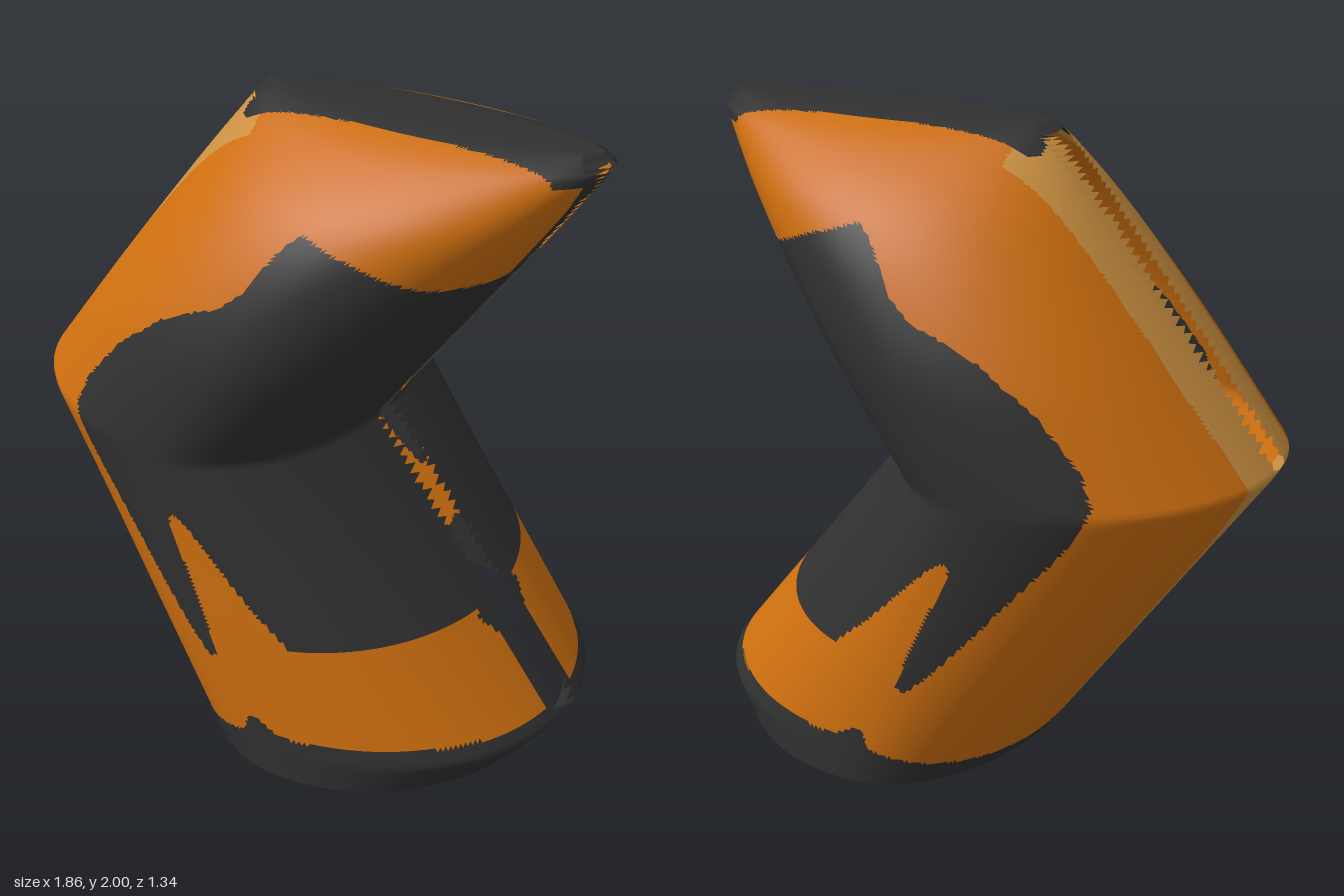
import * as THREE from 'three';

const ROWS = 180, COLS = 124;

// Piecewise-linear lookup in a list of [position, value] pairs
function lerpTable(table, p) {
  if (p <= table[0][0]) return table[0][1];
  for (let i = 1; i < table.length; i++) {
    const [p0, v0] = table[i - 1], [p1, v1] = table[i];
    if (p <= p1) return v0 + (v1 - v0) * (p - p0) / (p1 - p0);
  }
  return table[table.length - 1][1];
}

// Sleeve outline: back edge, front edge and widest line, as x by height
const BACK = [[0, -0.25], [1.02, -0.94], [1.98, -0.21], [2, -0.18]];
const FRONT = [[0, 0.85], [0.1, 0.93], [1, 0.23], [1.95, 0.93], [2, 0.89]];
const WIDEST = [[0, 0.22], [1, -0.2], [2, 0.36]];

// Half width by height, closing over the top
const WIDTH = new THREE.SplineCurve([
  [0, 0.67], [0.4, 0.66], [0.8, 0.642], [1.2, 0.63], [1.4, 0.605], [1.6, 0.54], [1.75, 0.46],
  [1.85, 0.37], [1.94, 0.25], [1.985, 0.15], [2, 0.07], [2, 0],
].map(([y, w]) => new THREE.Vector2(y, w)));

// Dark elbow patch on each side, in x and y
const PATCH = [
  [-0.55, 1.04], [-0.51, 1.14], [-0.37, 1.3], [-0.2, 1.43], [-0.1, 1.48], [0, 1.52], [0.08, 1.58],
  [0.13, 1.66], [0.18, 1.73], [0.22, 1.76], [0.38, 1.71], [0.56, 1.635], [0.65, 1.62], [1.1, 1.62],
  [1.1, 0.44], [0.6, 0.455], [0.27, 0.45], [0.15, 0.56], [-0.05, 0.77], [-0.11, 0.82], [-0.14, 0.82],
  [-0.14, 0.77], [-0.08, 0.66], [0, 0.47], [0.035, 0.38], [0.01, 0.36], [-0.07, 0.43], [-0.2, 0.58],
  [-0.35, 0.76], [-0.47, 0.9], [-0.53, 1],
];

// Upper edge of the dark cuff, y by x
const CUFF = [[-0.25, 0.04], [0, 0.09], [0.13, 0.13], [0.15, 0.19], [0.18, 0.2], [0.22, 0.165],
  [0.3, 0.15], [0.6, 0.155], [0.95, 0.14]];

// Half width of the tan stripe along the back, by height
const STRIPE = [[0, 0.12], [0.75, 0.13], [1, 0.2], [1.3, 0.21], [2, 0.21]];

function insidePatch(x, y) {
  let inside = false;
  PATCH.forEach(([x1, y1], i) => {
    const [x0, y0] = PATCH[(i + PATCH.length - 1) % PATCH.length];
    if ((y1 > y) !== (y0 > y) && x < (x0 - x1) * (y - y1) / (y0 - y1) + x1) inside = !inside;
  });
  return inside;
}

// 0 = orange, 1 = dark, 2 = tan
function colourAt(x, y, z) {
  z = Math.abs(z);
  if (y < lerpTable(CUFF, x)) return 1;
  if (y > 1.92 && z < 0.15 && x > -0.2) return 1;
  const atFront = x > lerpTable(WIDEST, y);
  if (!atFront && x < -0.12 && z < lerpTable(STRIPE, y)) return 2;
  if (y < 1 && !atFront && z < lerpTable(STRIPE, y)) return 2;
  if (atFront && z < 0.09 + 0.04 * Math.max(0, 1 - Math.abs(y - 0.43) / 0.06)) return 1;
  return insidePatch(x, y) ? 1 : 0;
}

function seeded(seed) {
  return () => (seed = (seed * 16807) % 2147483647) / 2147483647;
}

// One side of the sleeve, with ragged edges along the front and back seams
function sleeveHalf(side) {
  const random = seeded(77);
  const positions = [], faces = [[], [], []];
  WIDTH.getSpacedPoints(ROWS).forEach((p, i) => {
    const y = THREE.MathUtils.clamp(p.x, 0, 2), w = Math.max(p.y, 0);
    const back = lerpTable(BACK, y), front = lerpTable(FRONT, y), mid = lerpTable(WIDEST, y);
    const start = Math.asin(Math.min(0.085 / Math.max(w, 0.001), 0.4));
    const tooth = () => {
      const gap = (i % 2 ? 0.008 : 0.05) + 0.025 * random();
      return y > 1.975 ? 0 : Math.min(Math.asin(Math.min(gap / w, 1)), start);
    };
    for (let j = 0; j <= COLS; j++) {
      let t = start + (Math.PI - 2 * start) * (j - 1) / (COLS - 2);
      if (j === 0) t = tooth();
      if (j === COLS) t = Math.PI - tooth();
      const c = Math.cos(t);
      const x = mid - c * (c > 0 ? mid - back : front - mid);
      positions.push(x, y, side * w * Math.sin(t));
    }
  });

  const addFace = (a, b, c) => {
    const mean = k => (positions[a * 3 + k] + positions[b * 3 + k] + positions[c * 3 + k]) / 3;
    faces[colourAt(mean(0), mean(1), mean(2))].push(...(side > 0 ? [a, b, c] : [a, c, b]));
  };
  for (let i = 0; i < ROWS; i++) {
    for (let j = 0; j < COLS; j++) {
      const a = i * (COLS + 1) + j, d = a + COLS + 1;
      addFace(a, a + 1, d + 1);
      addFace(a, d + 1, d);
    }
  }

  const geometry = new THREE.BufferGeometry();
  geometry.setAttribute('position', new THREE.Float32BufferAttribute(positions, 3));
  geometry.setIndex(faces.flat());
  let offset = 0;
  faces.forEach((list, m) => {
    geometry.addGroup(offset, list.length, m);
    offset += list.length;
  });
  geometry.computeVertexNormals();
  return geometry;
}

export function createModel() {
  const material = (name, color) => {
    const m = new THREE.MeshStandardMaterial({ color, side: THREE.DoubleSide });
    m.name = name;
    return m;
  };
  const materials = [material('orange', 0xcc6e0f), material('charcoal', 0x303030), material('tan', 0xc98f40)];

  const group = new THREE.Group();
  group.name = 'bentSleeve';
  for (const [name, side] of [['frontHalf', 1], ['rearHalf', -1]]) {
    const mesh = new THREE.Mesh(sleeveHalf(side), materials);
    mesh.name = name;
    group.add(mesh);
  }
  return group;
}
